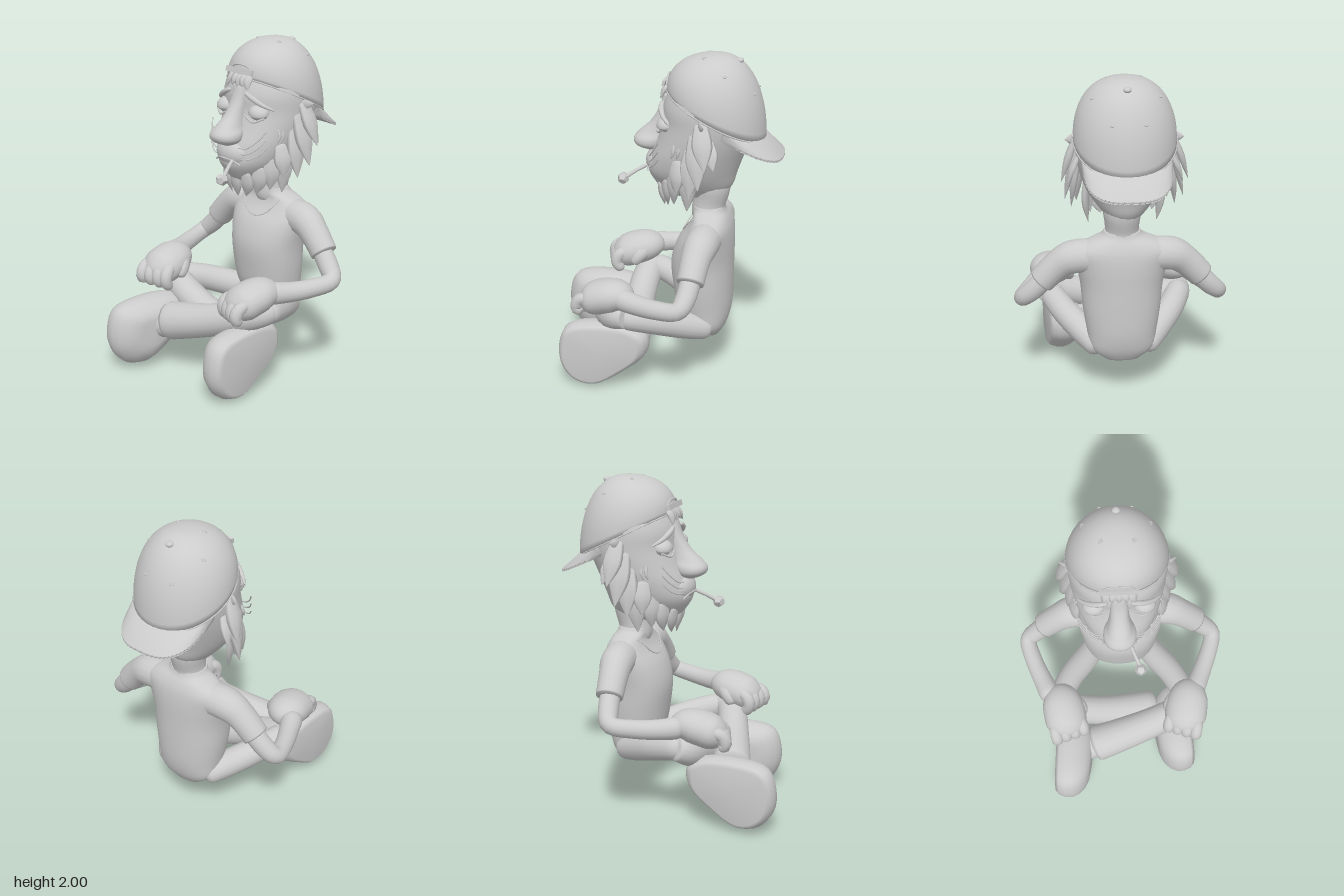
import * as THREE from 'three';

const V = (x, y, z) => new THREE.Vector3(x, y, z);
const pw = (v, e) => Math.sign(v) * Math.abs(v) ** e;

// Closed smooth skin through rings of points, capped at both ends
function loft(rings) {
  const m = rings[0].length, n = rings.length, pts = rings.flat(), idx = [];
  for (const end of [rings[0], rings[n - 1]]) {
    pts.push(end.reduce((a, p) => a.add(p), V(0, 0, 0)).divideScalar(m));
  }
  for (let i = 0; i < n - 1; i++) for (let j = 0; j < m; j++) {
    const a = i * m + j, b = i * m + (j + 1) % m;
    idx.push(a, b, a + m, b, b + m, a + m);
  }
  for (let j = 0; j < m; j++) {
    const k = (j + 1) % m, l = (n - 1) * m;
    idx.push(n * m, k, j, n * m + 1, l + j, l + k);
  }
  // face outward whatever the ring direction
  let vol = 0;
  for (let i = 0; i < idx.length; i += 3) {
    vol += pts[idx[i]].dot(pts[idx[i + 1]].clone().cross(pts[idx[i + 2]]));
  }
  if (vol < 0) idx.reverse();
  const g = new THREE.BufferGeometry().setFromPoints(pts);
  g.setIndex(idx);
  g.computeVertexNormals();
  return g;
}

// Catmull-Rom through rows of numbers
function rowAt(rows, t) {
  const f = t * (rows.length - 1), i = Math.min(Math.floor(f), rows.length - 2), u = f - i;
  const at = k => rows[Math.max(0, Math.min(rows.length - 1, k))];
  return at(i).map((b, c) => {
    const a = at(i - 1)[c], d = at(i + 1)[c], e = at(i + 2)[c];
    return b + 0.5 * u * (d - a + u * (2 * a - 5 * b + 4 * d - e + u * (3 * (b - d) + e - a)));
  });
}

// Horizontal sections: [y, halfWidth, zFront, zBack]
function stack(rows, e = 1, n = 32, m = 32) {
  return loft(Array.from({ length: n + 1 }, (_, i) => {
    const [y, rx, f, b] = rowAt(rows, i / n);
    return Array.from({ length: m }, (_, j) => {
      const a = j / m * Math.PI * 2;
      return V(rx * pw(Math.cos(a), e), y, (f + b) / 2 + (f - b) / 2 * pw(Math.sin(a), e));
    });
  }));
}

// Limb along rows [x, y, z, radius]; s mirrors x, end is the rounded length,
// flat scales it along the direction away from the body's axis
function limb(rows, s = 1, end = null, n = 20, m = 16, flat = 1) {
  const at = t => { const r = rowAt(rows, t); return V(r[0] * s, r[1], r[2]); };
  let len = 0;
  for (let i = 0; i < 20; i++) len += at(i / 20).distanceTo(at((i + 1) / 20));
  let N = V(rows[0][0] * s, 0.01, rows[0][2] + 0.25);
  return loft(Array.from({ length: n + 1 }, (_, i) => {
    const t = (1 - Math.cos(Math.PI * i / n)) / 2, c = at(t);
    const T = at(Math.min(1, t + 0.01)).sub(at(Math.max(0, t - 0.01))).normalize();
    N = N.clone().addScaledVector(T, -T.dot(N)).normalize();
    const B = T.clone().cross(N), r = Math.max(0.0005, rowAt(rows, t)[3]);
    const q = Math.min(1, Math.min(t, 1 - t) * len / (end ?? r));
    const R = r * Math.max(0.02, Math.sqrt(1 - (1 - q) ** 2));
    return Array.from({ length: m }, (_, j) => {
      const a = j / m * Math.PI * 2;
      return c.clone().addScaledVector(N, R * flat * Math.cos(a)).addScaledVector(B, R * Math.sin(a));
    });
  }));
}

const tube = (pts, r) => new THREE.TubeGeometry(
  new THREE.CatmullRomCurve3(pts.map(p => V(...p))), 16, r, 6);

// Cap dome: height over x, z, with a rim that slopes down to the back
const CZ = -0.312, CR = 0.29;
const rimY = z => 1.79 + (z + 0.03) * 0.49;
function capY(x, z) {
  const q = Math.min(1, Math.hypot(x, z - CZ) / CR);
  const r = rimY(q > 0 ? CZ + (z - CZ) / q : CZ);
  return r + (2 - r) * (1 - q ** 2.3) ** (1 / 2.1);
}

export function createModel() {
  const root = new THREE.Group();
  const mat = new THREE.MeshStandardMaterial({ color: 0xcccccc, side: THREE.DoubleSide });
  const head = new THREE.Group();
  head.name = 'head';
  head.position.x = -0.012;
  root.add(head);
  const add = (parent, name, geo, pos = [0, 0, 0], scale = [1, 1, 1], rot = [0, 0, 0]) => {
    const mesh = new THREE.Mesh(geo, mat);
    mesh.name = name;
    mesh.position.set(...pos);
    mesh.scale.set(...scale);
    mesh.rotation.set(...rot);
    parent.add(mesh);
  };
  const ball = new THREE.SphereGeometry(1, 20, 14);

  // Torso, neck and neckline
  add(root, 'shirt', stack([[0.27, 0.1, -0.28, -0.36], [0.34, 0.185, -0.19, -0.4],
    [0.45, 0.21, -0.1, -0.425], [0.6, 0.232, -0.07, -0.43], [0.75, 0.245, -0.06, -0.43],
    [0.88, 0.27, -0.1, -0.43], [0.97, 0.285, -0.165, -0.42], [1.025, 0.22, -0.19, -0.4],
    [1.06, 0.13, -0.185, -0.38], [1.09, 0.105, -0.185, -0.37]], 0.9));
  add(root, 'neck', limb([[0, 0.98, -0.28, 0.125], [0, 1.08, -0.275, 0.1], [0, 1.18, -0.29, 0.108], [0, 1.32, -0.3, 0.14]]));
  add(root, 'neckline', tube([[-0.12, 1.06, -0.27], [-0.135, 1.02, -0.19], [-0.08, 0.95, -0.142],
    [0, 0.925, -0.125], [0.08, 0.95, -0.142], [0.135, 1.02, -0.19], [0.12, 1.06, -0.27]], 0.004));

  // Skull, jaw and nose
  add(head, 'face', stack([[1.9, 0.2, -0.14, -0.46], [1.8, 0.26, -0.05, -0.54], [1.7, 0.283, -0.005, -0.565],
    [1.6, 0.28, 0.0, -0.55], [1.5, 0.268, 0.03, -0.515], [1.4, 0.245, 0.07, -0.475],
    [1.3, 0.205, 0.09, -0.44], [1.22, 0.15, 0.05, -0.415], [1.15, 0.09, -0.01, -0.36]], 0.95));
  add(head, 'nose', stack([[1.75, 0.045, 0.0, -0.06], [1.66, 0.05, 0.03, -0.06], [1.58, 0.055, 0.08, -0.05],
    [1.52, 0.07, 0.145, -0.04], [1.475, 0.093, 0.18, -0.02], [1.435, 0.085, 0.165, 0],
    [1.405, 0.03, 0.1, 0.02]], 0.92));
  add(head, 'muzzle', ball, [0, 1.35, 0.015], [0.13, 0.09, 0.09]);
  add(head, 'mouth', tube([[-0.1, 1.3, 0.07], [-0.05, 1.325, 0.092], [0, 1.33, 0.104],
    [0.05, 1.325, 0.092], [0.1, 1.3, 0.07]], 0.006));

  // Cigarette with a faceted ember
  add(head, 'cigarette', limb([[0.05, 1.33, 0.07, 0.011], [0.085, 1.29, 0.15, 0.011], [0.115, 1.25, 0.21, 0.012]], 1, 0.003, 8, 10));
  add(head, 'ember', new THREE.DodecahedronGeometry(0.037), [0.115, 1.247, 0.22]);

  // Cap crown, rim band, brim, strap, button and eyelets
  const rings = Array.from({ length: 20 }, (_, i) => {
    const q = Math.sin((20 - i) / 20 * Math.PI / 2);
    return Array.from({ length: 40 }, (_, j) => {
      const a = j / 40 * Math.PI * 2, x = CR * q * Math.cos(a), z = CZ + CR * q * Math.sin(a);
      return V(x, capY(x, z), z);
    });
  });
  add(head, 'capCrown', loft(rings));
  add(head, 'capRim', new THREE.TubeGeometry(new THREE.CatmullRomCurve3(
    rings[0].map(p => p.clone()), true), 60, 0.005, 6, true));
  const brim = Array.from({ length: 33 }, (_, i) => {
    const u = i / 16 - 1, a = u * 1.25, b = u * Math.PI / 2;
    const inner = [0.28 * Math.sin(a), CZ - 0.28 * Math.cos(a)];
    const outer = [0.25 * pw(Math.sin(b), 0.75), -0.38 - 0.33 * Math.max(0, Math.cos(b)) ** 0.65];
    const at = (v, d) => {
      const x = inner[0] + (outer[0] - inner[0]) * v, z = inner[1] + (outer[1] - inner[1]) * v;
      return V(x, rimY(z) + 0.02 - 0.05 * v - 0.28 * x * x + d, z);
    };
    return [at(0, 0), at(0.5, 0), at(1, 0), at(1, -0.016), at(0.5, -0.016), at(0, -0.016)];
  });
  add(head, 'capBrim', loft(brim));
  add(head, 'capStrap', new THREE.BoxGeometry(0.22, 0.032, 0.016), [0, 1.832, -0.02], [1, 1, 1], [-0.25, 0, 0]);
  add(head, 'strapOpening', tube([[-0.09, 1.83, -0.035], [-0.06, 1.858, -0.035], [0, 1.868, -0.031],
    [0.06, 1.858, -0.035], [0.09, 1.83, -0.035]], 0.006));
  for (let i = 0; i < 5; i++) {
    const x = -0.076 + i * 0.038;
    add(head, 'foreheadTuft', limb([[x, 1.81, -0.035, 0.024], [x, 1.78, -0.013, 0.028],
      [x * 1.15, 1.735 + (i % 2) * 0.012, 0.0, 0.008]], 1, 0.01, 8, 6, 0.5));
  }
  add(head, 'capButton', ball, [0, capY(0, -0.44) + 0.002, -0.44], [0.023, 0.016, 0.023]);
  for (const s of [-1, 1]) for (const [x, z] of [[0.09, -0.54], [0.185, -0.385], [0.09, -0.25]]) {
    add(head, 'capEyelet', new THREE.TorusGeometry(0.009, 0.004, 6, 12), [s * x, capY(x, z), z],
      [1, 1, 1], [-Math.PI / 2 + (z - CZ) * 2, s * x * 2, 0]);
  }

  // Hair and beard tufts: base, tip, radius
  const tufts = [[0.25, 1.64, -0.25, 0.335, 1.65, -0.3, 0.03], [0.27, 1.66, -0.27, 0.36, 1.4, -0.31, 0.06],
    [0.26, 1.6, -0.24, 0.34, 1.28, -0.27, 0.065], [0.25, 1.52, -0.22, 0.3, 1.21, -0.21, 0.065],
    [0.235, 1.42, -0.13, 0.265, 1.22, -0.13, 0.055], [0.21, 1.4, -0.19, 0.2, 1.1, -0.18, 0.06],
    [0.19, 1.34, -0.09, 0.18, 1.13, -0.1, 0.055], [0.15, 1.28, -0.04, 0.115, 1.1, -0.05, 0.05],
    [0.09, 1.24, 0.01, 0.06, 1.08, -0.02, 0.045], [0.26, 1.56, -0.31, 0.325, 1.4, -0.355, 0.045]];
  const tuft = ([a, b, c, x, y, z, r]) => [[a, b, c, r * 0.6],
    [a * 0.55 + x * 0.45 + 0.01 * Math.sign(a), (b + y) / 2, (c + z) / 2, r], [x, y, z, 0.002]];
  add(head, 'chinTuft', limb(tuft([0, 1.23, 0.02, 0, 1.07, -0.01, 0.045]), 1, 0.02, 12, 7, 0.4));

  for (const s of [-1, 1]) {
    const side = s > 0 ? 'left' : 'right';
    for (const t of tufts) add(head, side + 'HairTuft', limb(tuft(t), s, 0.02, 12, 7, 0.35));
    for (const z of [-0.11, -0.14]) {
      add(head, side + 'CheekMark', limb([[0.235, 1.51, z, 0.006], [0.25, 1.47, z, 0.01], [0.245, 1.43, z + 0.015, 0.003]], s, 0.01, 8, 6));
    }
    // Eyes, lids, bags and brows
    add(head, side + 'Eye', ball, [s * 0.14, 1.6, -0.045], [0.062, 0.042, 0.05]);
    add(head, side + 'Eyelid', new THREE.SphereGeometry(1, 20, 10, 0, Math.PI * 2, 0, Math.PI / 2),
      [s * 0.14, 1.6, -0.045], [0.066, 0.05, 0.058], [0.2, 0, -s * 0.12]);
    add(head, side + 'EyeBag', tube([[s * 0.08, 1.58, 0.005], [s * 0.14, 1.555, 0.005], [s * 0.2, 1.58, -0.03]], 0.007));
    add(head, side + 'Eyebrow', limb([[0.065, 1.715, -0.006, 0.012], [0.12, 1.69, -0.01, 0.017],
      [0.18, 1.655, -0.035, 0.014], [0.235, 1.625, -0.08, 0.005]], s, 0.015, 12, 8));
    // Whiskers
    for (let i = 0; i < 3; i++) {
      const y = 1.33 + i * 0.035;
      add(head, side + 'Whisker', tube([[s * 0.09, y, 0.065], [s * 0.14, y + 0.005, 0.055],
        [s * 0.2, y + 0.035 + i * 0.01, 0.02], [s * 0.235, y + 0.08 + i * 0.015, -0.015]], 0.004));
    }

    // Sleeve, arm and drooping hand
    add(root, side + 'Sleeve', limb([[0.13, 0.935, -0.295, 0.1], [0.28, 0.93, -0.285, 0.1],
      [0.375, 0.875, -0.272, 0.087], [0.475, 0.77, -0.262, 0.08]], s, 0.012));
    add(root, side + 'Arm', limb([[0.42, 0.82, -0.265, 0.06], [0.52, 0.71, -0.25, 0.06], [0.583, 0.645, -0.21, 0.053],
      [0.55, 0.625, -0.08, 0.055], [0.497, 0.62, 0.05, 0.06], [0.44, 0.63, 0.18, 0.07]], s, null, 32));
    const hx = s > 0 ? 0.012 : -0.018;
    const shift = rows => rows.map(([x, y, z, r]) => [x + hx, y, z, r]);
    add(root, side + 'Hand', limb(shift([[0.45, 0.63, 0.1, 0.065], [0.41, 0.63, 0.18, 0.093],
      [0.385, 0.612, 0.26, 0.103], [0.375, 0.585, 0.34, 0.098], [0.37, 0.57, 0.41, 0.07]]), s, null, 20, 20, 1.27));
    for (let i = 0; i < 4; i++) {
      const x = 0.27 + i * 0.055, z = 0.35 + i * 0.018;
      add(root, side + 'Finger', limb(shift([[x + 0.025, 0.62, z - 0.06, 0.03], [x + 0.005, 0.595, z, 0.038],
        [x, 0.54, z + 0.018, 0.037], [x + 0.005, 0.49 + i * 0.012, z - 0.02, 0.031]]), s, null, 14, 10));
    }
    add(root, side + 'Thumb', limb(shift([[0.35, 0.63, 0.18, 0.055], [0.29, 0.6, 0.22, 0.045], [0.27, 0.54, 0.26, 0.03]]), s, null, 14, 10));

    // Crossed legs: the left shin passes in front and its foot lies on the right
    add(root, side + 'Thigh', limb([[0.13, 0.335, -0.32, 0.07], [0.22, 0.385, -0.18, 0.083],
      [0.33, 0.445, -0.02, 0.08], [0.415, 0.495, 0.17, 0.075]], s));
    const shin = s > 0
      ? [[0.43, 0.5, 0.12, 0.07], [0.36, 0.48, 0.23, 0.088], [0.1, 0.39, 0.32, 0.1], [-0.2, 0.31, 0.395, 0.12]]
      : [[0.43, 0.49, 0.12, 0.07], [0.34, 0.45, 0.18, 0.09], [0.1, 0.35, 0.18, 0.095], [-0.22, 0.26, 0.14, 0.11]];
    add(root, side + 'Shin', limb(shin, s, s > 0 ? 0.03 : 0.05));
    add(root, side + 'Ankle', limb([[-0.1, 0.31, s > 0 ? 0.37 : 0.16, 0.08], [-0.32, 0.26, s > 0 ? 0.42 : 0.24, 0.09]], s));
    // Shoe: outline in z, y swept across x, sole facing outward
    const outline = new THREE.CatmullRomCurve3([[0.02, 0.34], [0.03, 0.23], [0.16, 0.11], [0.34, 0.005], [0.47, 0.03],
      [0.55, 0.13], [0.56, 0.26], [0.51, 0.38], [0.32, 0.42], [0.1, 0.4]].map(([z, y]) => V(0, y, z)), true).getPoints(40).slice(0, 40);
    const dz = s > 0 ? 0.15 : 0, dy = s > 0 ? 0.02 : 0;
    const rowsX = [[-0.12, 0.4], [-0.11, 0.58], [-0.085, 0.77], [-0.045, 0.92], [0, 1], [0.045, 0.99], [0.085, 0.92], [0.105, 0.82]];
    add(root, side + 'Shoe', loft(rowsX.map(([x, k]) => outline.map(p =>
      V(-s * (0.33 + x + (p.z - 0.3) * 0.06), 0.24 + (p.y - 0.24) * k + dy, 0.32 + (p.z - 0.32) * k + dz)))));
  }
  return root;
}
